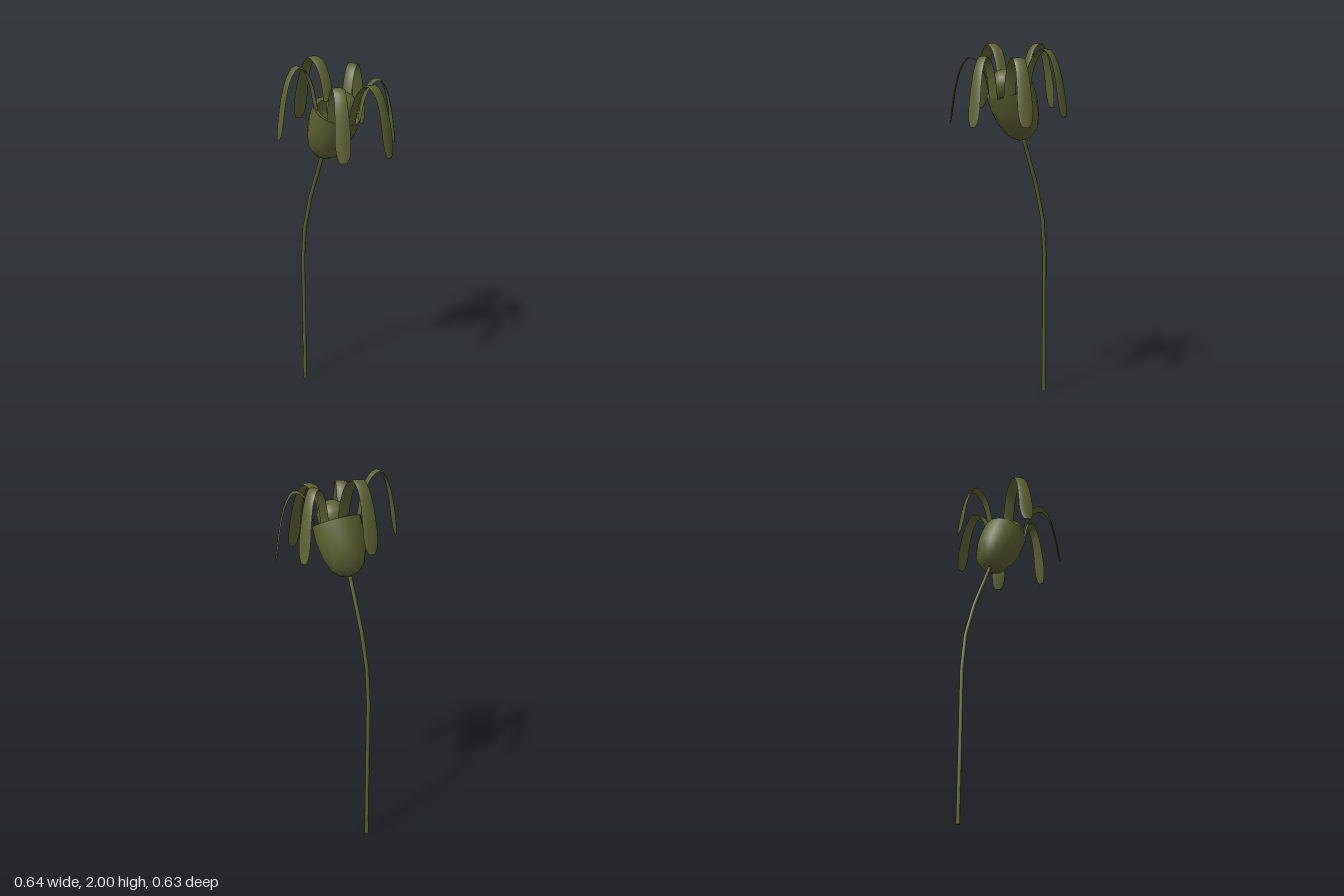
import * as THREE from 'three';
import { toCreasedNormals } from 'three/addons/utils/BufferGeometryUtils.js';

const UP = new THREE.Vector3(0, 1, 0);
const material = new THREE.MeshStandardMaterial({ color: 0x5b6130, side: THREE.DoubleSide });

// Capped loft: rings set along a path, flattened and cupped by shape(t)
function loft(points, side, shape, sides) {
  const positions = [], index = [], count = points.length;
  const T = new THREE.Vector3(), n = new THREE.Vector3(), v = new THREE.Vector3();
  points.forEach((p, i) => {
    T.subVectors(points[Math.min(i + 1, count - 1)], points[Math.max(i - 1, 0)]).normalize();
    n.crossVectors(T, side).normalize();
    const { width, thickness, cup } = shape(i / (count - 1));
    for (let j = 0; j < sides; j++) {
      const a = (j / sides) * Math.PI * 2, c = Math.cos(a);
      v.copy(p).addScaledVector(side, (c * width) / 2)
        .addScaledVector(n, (Math.sin(a) * thickness) / 2 - cup * c * c);
      positions.push(v.x, v.y, v.z);
      if (i < count - 1) {
        const k = (j + 1) % sides, r = i * sides, s = r + sides;
        index.push(r + j, r + k, s + j, r + k, s + k, s + j);
      }
    }
  });
  const last = (count - 1) * sides;
  for (let j = 1; j < sides - 1; j++) {
    index.push(0, j + 1, j, last, last + j, last + j + 1);
  }
  const geometry = new THREE.BufferGeometry();
  geometry.setAttribute('position', new THREE.Float32BufferAttribute(positions, 3));
  geometry.setIndex(index);
  return toCreasedNormals(geometry, 1);
}

// Arching petal from its base in the cup, over a peak, down to a hanging tip
function petalGeometry([bx, bz, tx, tz, peakY, tipY]) {
  const baseY = 1.74 - 0.5 * bx;
  const at = (f, y) => new THREE.Vector3(bx + (tx - bx) * f, y, bz + (tz - bz) * f);
  const rise = (f, k) => at(f, baseY + (peakY - baseY) * k);
  const drop = (f, k) => at(f, peakY - (peakY - tipY) * k);
  const curve = new THREE.CatmullRomCurve3([
    rise(0, 0), rise(0.13, 0.58), rise(0.3, 0.9), rise(0.52, 1),
    drop(0.7, 0.13), drop(0.85, 0.42), drop(1, 1),
  ]);
  // Blade is swirled a little about the vertical
  const heading = new THREE.Vector3(tx - bx, 0, tz - bz).normalize();
  const side = UP.clone().cross(heading).applyAxisAngle(UP, -0.23);
  const stops = [[0, 0.06], [0.5, 0.062], [0.85, 0.08], [0.95, 0.068], [1, 0.036]];
  const shape = (t) => {
    const k = Math.max(1, stops.findIndex((s) => s[0] >= t));
    const [t0, w0] = stops[k - 1], [t1, w1] = stops[k];
    const width = w0 + ((w1 - w0) * (t - t0)) / (t1 - t0);
    return { width, thickness: 0.008, cup: width * 0.04 };
  };
  return loft(curve.getSpacedPoints(24), side, shape, 10);
}

export function createModel() {
  const model = new THREE.Group();
  const add = (name, geometry) => {
    const mesh = new THREE.Mesh(geometry, material);
    mesh.name = name;
    model.add(mesh);
    return mesh;
  };

  // Stem, straight below and leaning over towards the flower
  const stem = [[-0.28, 0], [-0.28, 0.82], [-0.262, 1.02], [-0.21, 1.22], [-0.105, 1.5]]
    .map(([x, y]) => new THREE.Vector3(x, y, -0.015));
  add('stem', loft(stem, new THREE.Vector3(0, 0, 1),
    () => ({ width: 0.022, thickness: 0.022, cup: 0 }), 8));

  // Tilted cup with a thick rim and a hollow inside
  const profile = [[0, -0.29], [0.05, -0.279], [0.09, -0.24], [0.117, -0.165], [0.129, -0.085],
    [0.129, 0], [0.106, -0.004], [0.095, -0.05], [0.06, -0.1], [0, -0.11]]
    .map(([r, y]) => new THREE.Vector2(r, y));
  const cup = add('cup', toCreasedNormals(new THREE.LatheGeometry(profile, 14), 0.9));
  cup.position.set(0, 1.75, -0.02);
  cup.rotation.z = -0.43;

  // Round heart resting in the cup
  const heart = add('heart', new THREE.SphereGeometry(0.082, 16, 12));
  heart.position.set(0.032, 1.774, -0.022);
  heart.rotation.z = -0.43;

  // Petals: base x, base z, tip x, tip z, peak height, tip height
  [
    [-0.085, -0.042, -0.314, -0.03, 1.996, 1.65],
    [-0.05, 0.08, -0.08, 0.311, 1.998, 1.65],
    [0.06, 0.068, 0.25, 0.174, 1.917, 1.57],
    [0.105, -0.015, 0.315, -0.088, 1.912, 1.557],
    [0.075, -0.1, 0.143, -0.302, 1.907, 1.557],
    [-0.035, -0.115, -0.123, -0.31, 1.955, 1.605],
  ].forEach((p, i) => add(`petal${i + 1}`, petalGeometry(p)));

  return model;
}
